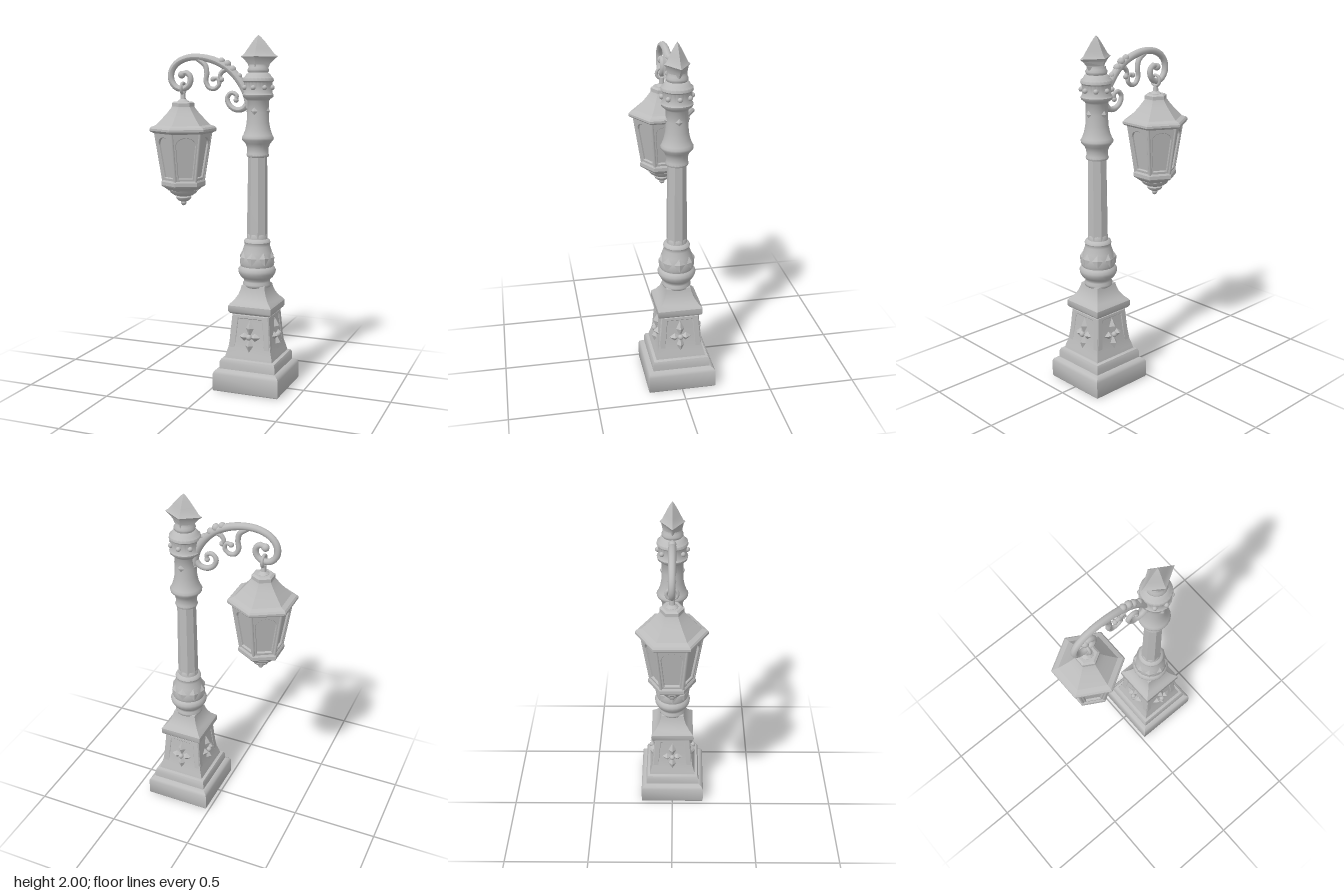
import * as THREE from 'three';
import { toCreasedNormals } from 'three/addons/utils/BufferGeometryUtils.js';

const POLE_X = 0.213, LAMP_X = -0.243;
const V2 = (p) => new THREE.Vector2(p[0], p[1]);

export function createModel() {
  const root = new THREE.Group();
  root.name = 'streetLamp';
  const stone = new THREE.MeshStandardMaterial({ color: 0xbcbcbc });
  stone.name = 'grey metal';

  const add = (parent, name, geo, x = 0, y = 0, z = 0) => {
    const m = new THREE.Mesh(geo, stone);
    m.name = name;
    m.position.set(x, y, z);
    parent.add(m);
    return m;
  };
  const group = (parent, name, x = 0, y = 0, z = 0) => {
    const g = new THREE.Group();
    g.name = name;
    g.position.set(x, y, z);
    parent.add(g);
    return g;
  };
  // Turned profile of [half width, height]; few sides give a square or hexagonal section
  const turned = (profile, sides, crease = 0.6) => {
    const k = sides <= 8 ? 1 / Math.cos(Math.PI / sides) : 1;
    const geo = new THREE.LatheGeometry(profile.map(([r, y]) => new THREE.Vector2(r * k, y)), sides);
    if (sides === 4 || sides === 8) geo.rotateY(Math.PI / sides);
    return toCreasedNormals(geo, crease);
  };
  // Flat frame: outline with an opening
  const frame = (outer, inner, depth) => {
    const s = new THREE.Shape(outer.map(V2));
    s.holes.push(inner);
    return new THREE.ExtrudeGeometry(s, {
      depth, bevelEnabled: true, bevelSize: 0.003, bevelThickness: 0.003, bevelSegments: 1, curveSegments: 8,
    });
  };
  // Small raised diamond facing +z
  const diamond = (w, h, d) => new THREE.OctahedronGeometry(1).scale(w, h, d);

  // ---- Pedestal ----
  const post = group(root, 'post', POLE_X);
  add(post, 'plinth', turned([[0, 0], [0.19, 0], [0.195, 0.008], [0.195, 0.1], [0.188, 0.115], [0.168, 0.127], [0, 0.127]], 4));
  add(post, 'pedestal', turned([
    [0, 0.12], [0.165, 0.12], [0.165, 0.165], [0.158, 0.182], [0.142, 0.187], [0.138, 0.205], [0.125, 0.25],
    [0.116, 0.32], [0.108, 0.4], [0.105, 0.44], [0.12, 0.447], [0.127, 0.458], [0.127, 0.49], [0.118, 0.502],
    [0.1, 0.52], [0.082, 0.55], [0.072, 0.58], [0.068, 0.6], [0, 0.6],
  ], 4));
  const opening = new THREE.Path([[-0.09, -0.1], [0.09, -0.1], [0.075, 0.085], [-0.075, 0.085]].map(V2));
  const panelGeo = frame([[-0.12, -0.115], [0.12, -0.115], [0.104, 0.1], [-0.104, 0.1]], opening, 0.003);
  for (let i = 0; i < 4; i++) {
    const side = group(post, 'pedestalSide');
    side.rotation.y = (i * Math.PI) / 2;
    const panel = group(side, 'pedestalPanel', 0, 0.335, 0.112);
    panel.rotation.x = -0.085;
    add(panel, 'panelFrame', panelGeo);
    // Four-petalled flower
    for (let k = 0; k < 4; k++) {
      const long = k % 2 === 0 ? 0.05 : 0.032;
      const petal = add(panel, 'petal', diamond(0.024, long, 0.024),
        Math.sin(k * Math.PI / 2) * long, -0.02 + Math.cos(k * Math.PI / 2) * long, 0.004);
      petal.rotation.z = -k * Math.PI / 2;
    }
    add(panel, 'flowerCentre', new THREE.SphereGeometry(0.016, 12, 8), 0, -0.02, 0.016);
  }

  // ---- Column ----
  add(post, 'vase', turned([
    [0.07, 0.585], [0.079, 0.592], [0.081, 0.605], [0.074, 0.618], [0.075, 0.63], [0.092, 0.645], [0.105, 0.668],
    [0.108, 0.685], [0.1, 0.7], [0.093, 0.708], [0.099, 0.725], [0.094, 0.76], [0.085, 0.79], [0.073, 0.825],
    [0.072, 0.838], [0.076, 0.846], [0.072, 0.857], [0.058, 0.865], [0.056, 0.89], [0.048, 0.9],
  ], 24, 0.8));
  add(post, 'shaft', turned([[0.054, 0.87], [0.053, 1.0], [0.049, 1.345]], 8, 0.3));
  add(post, 'capital', turned([
    [0.045, 1.325], [0.06, 1.33], [0.064, 1.34], [0.059, 1.352], [0.06, 1.38], [0.07, 1.405], [0.088, 1.425],
    [0.09, 1.437], [0.082, 1.45], [0.071, 1.48], [0.063, 1.52], [0.06, 1.58], [0.06, 1.64], [0.068, 1.65],
    [0.084, 1.662], [0.087, 1.675], [0.079, 1.685], [0.079, 1.742], [0.087, 1.75], [0.085, 1.765], [0.072, 1.775],
    [0.066, 1.788], [0.05, 1.797], [0, 1.797],
  ], 24, 0.8));
  for (let i = 0; i < 8; i++) {
    const a = (i * Math.PI) / 4;
    add(post, 'collarStud', new THREE.SphereGeometry(0.014, 10, 8), Math.sin(a) * 0.082, 1.714, Math.cos(a) * 0.082);
    const spin = group(post, 'diamondMount');
    spin.rotation.y = a;
    add(spin, 'vaseDiamond', diamond(0.03, 0.043, 0.014), 0, 0.76, 0.09).rotation.x = -0.25;
    if (i % 2 === 0) add(spin, 'neckDiamond', diamond(0.02, 0.025, 0.012), 0, 1.585, 0.058);
  }

  // ---- Finial: round stem, pointed cap wider along x ----
  add(post, 'finialStem', turned([[0.045, 1.785], [0.058, 1.8], [0.06, 1.812], [0.052, 1.825], [0.05, 1.84]], 20, 0.8));
  const cap = turned([[0.052, 1.82], [0.062, 1.845], [0.085, 1.87], [0.102, 1.883], [0.083, 1.896],
    [0.062, 1.925], [0.035, 1.962], [0.016, 1.985], [0, 2]], 4, 0.5).rotateY(Math.PI / 4);
  const pos = cap.attributes.position;
  for (let i = 0; i < pos.count; i++) {
    const t = THREE.MathUtils.smoothstep(pos.getY(i), 1.82, 1.88);
    // corners lie on the axes; bring them to the true half widths
    pos.setX(i, pos.getX(i) * (pos.getX(i) > 0 ? 0.8 : 0.72));
    pos.setZ(i, pos.getZ(i) * (0.72 - 0.24 * t));
  }
  add(post, 'finialCap', toCreasedNormals(cap, 0.5));

  // ---- Bracket: tapered scrolls in the x-y plane ----
  const bracket = group(root, 'bracket');
  const scroll = (name, pts, r0, r1) => {
    const curve = new THREE.CatmullRomCurve3(pts.map(([x, y]) => new THREE.Vector3(x, y, 0)));
    const n = 64, rad = 10;
    const geo = new THREE.TubeGeometry(curve, n, 1, rad);
    const p = geo.attributes.position, v = new THREE.Vector3();
    for (let i = 0; i <= n; i++) {
      const c = curve.getPointAt(i / n), r = THREE.MathUtils.lerp(r0, r1, i / n);
      for (let j = 0; j <= rad; j++) {
        const k = i * (rad + 1) + j;
        v.fromBufferAttribute(p, k).sub(c).multiplyScalar(r).add(c);
        p.setXYZ(k, v.x, v.y, v.z);
      }
    }
    geo.computeVertexNormals();
    add(bracket, name, geo);
    const e = pts[pts.length - 1];
    add(bracket, name + 'Tip', new THREE.SphereGeometry(r1 * 1.35, 12, 8), e[0], e[1]);
  };
  scroll('mainArm', [[0.165, 1.6], [0.145, 1.68], [0.1, 1.755], [0.04, 1.815], [-0.04, 1.858], [-0.13, 1.879], [-0.21, 1.877],
    [-0.275, 1.85], [-0.312, 1.805], [-0.315, 1.75], [-0.285, 1.71], [-0.24, 1.702], [-0.203, 1.727],
    [-0.197, 1.77], [-0.222, 1.793], [-0.25, 1.782]], 0.024, 0.016);
  scroll('middleScroll', [[-0.15, 1.872], [-0.105, 1.835], [-0.095, 1.79], [-0.1, 1.745], [-0.08, 1.71],
    [-0.045, 1.705], [-0.02, 1.73], [-0.03, 1.762], [-0.057, 1.758]], 0.016, 0.011);
  scroll('middleTendril', [[0.03, 1.815], [0.0, 1.8], [-0.015, 1.775], [-0.005, 1.755]], 0.015, 0.011);
  scroll('lowerScroll', [[0.155, 1.63], [0.125, 1.595], [0.08, 1.59], [0.042, 1.615], [0.03, 1.655],
    [0.055, 1.682], [0.085, 1.67], [0.083, 1.642]], 0.018, 0.011);
  // Leaf buds along the top of the arm
  [[-0.005, 1.858, 0.02], [0.03, 1.842, 0.022], [0.06, 1.812, 0.022], [0.1, 1.775, 0.018]].forEach(([x, y, r]) => {
    add(bracket, 'leafBud', new THREE.SphereGeometry(r, 10, 8), x, y);
  });

  // ---- Lantern ----
  const lamp = group(root, 'lantern', LAMP_X);
  add(lamp, 'hangerRing', new THREE.TorusGeometry(0.03, 0.009, 8, 20), 0, 1.705).rotation.y = Math.PI / 2;
  add(lamp, 'hangerStem', turned([[0.036, 1.615], [0.033, 1.632], [0.016, 1.645], [0.013, 1.68], [0, 1.682]], 12));
  add(lamp, 'roof', turned([
    [0, 1.45], [0.145, 1.45], [0.162, 1.458], [0.168, 1.465], [0.168, 1.477], [0.16, 1.487], [0.136, 1.497],
    [0.108, 1.53], [0.08, 1.565], [0.058, 1.597], [0.056, 1.602], [0.056, 1.622], [0.045, 1.63], [0, 1.632],
  ], 6, 0.3));
  add(lamp, 'glass', turned([[0.09, 1.17], [0.131, 1.46]], 6, 0.3));
  add(lamp, 'lowerRim', turned([
    [0, 1.115], [0.075, 1.118], [0.095, 1.135], [0.107, 1.142], [0.112, 1.15], [0.112, 1.17], [0.106, 1.18], [0, 1.182],
  ], 6, 0.3));
  add(lamp, 'bottomDrop', turned([
    [0, 1.027], [0.01, 1.032], [0.017, 1.043], [0.015, 1.052], [0.03, 1.058], [0.042, 1.068], [0.045, 1.078],
    [0.04, 1.086], [0.055, 1.09], [0.075, 1.104], [0.084, 1.12], [0, 1.125],
  ], 16, 0.8));
  // Arched window frames and corner ribs
  const arch = new THREE.Path();
  arch.moveTo(-0.042, 0.02);
  arch.lineTo(0.042, 0.02);
  arch.lineTo(0.058, 0.215);
  arch.quadraticCurveTo(0.054, 0.255, 0, 0.26);
  arch.quadraticCurveTo(-0.054, 0.255, -0.058, 0.215);
  const windowGeo = frame([[-0.054, 0], [0.054, 0], [0.078, 0.285], [-0.078, 0.285]], arch, 0.01);
  const down = new THREE.Vector3(0, 1.17, 0.115), up = new THREE.Vector3(0, 1.46, 0.161);
  const ribGeo = new THREE.TubeGeometry(new THREE.LineCurve3(down, up), 1, 0.009, 8);
  for (let i = 0; i < 6; i++) {
    const side = group(lamp, 'lanternSide');
    side.rotation.y = (i * Math.PI) / 3;
    add(side, 'cornerRib', ribGeo);
    const face = group(side, 'windowMount');
    face.rotation.y = Math.PI / 6;
    add(face, 'windowFrame', windowGeo, 0, 1.175, 0.09).rotation.x = 0.145;
  }
  return root;
}
